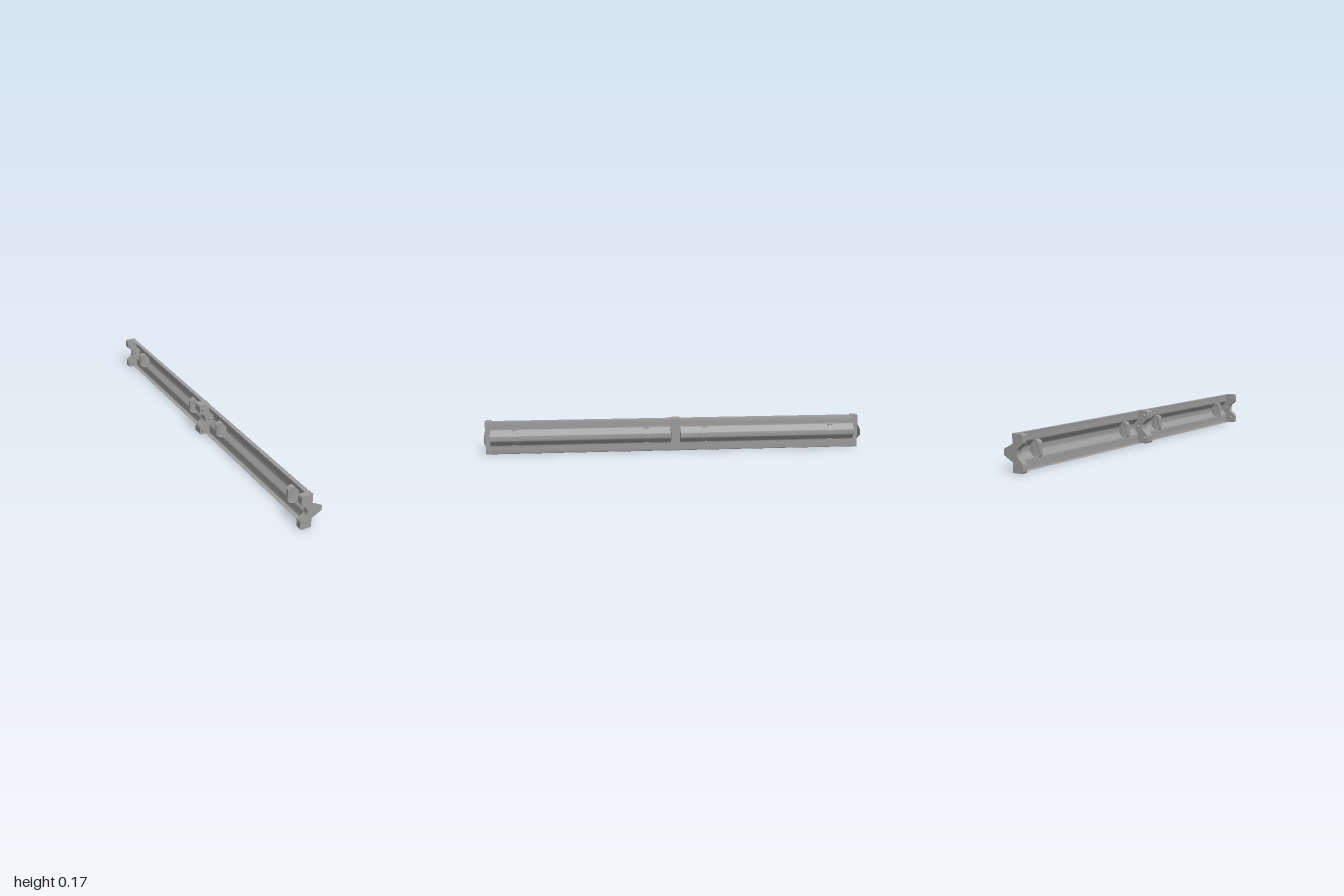
import * as THREE from 'three';

const MID = 0.0875; // mirror height of every profile
const grey = () => new THREE.MeshStandardMaterial({ color: 0x9c9c9c, side: THREE.DoubleSide });

// Mirrors a lower-half profile about the mid height
const mirrored = half => [...half, ...half.map(([x, y]) => [x, 2 * MID - y]).reverse()];
const outline = points => new THREE.Shape(points.map(([x, y]) => new THREE.Vector2(x, y)));

function part(name, geo) {
  const mesh = new THREE.Mesh(geo, grey());
  mesh.name = name;
  return mesh;
}

// Extrudes an outline along z, from z0 to z1
function slab(name, points, z0, z1) {
  const geo = new THREE.ExtrudeGeometry(outline(points), { depth: z1 - z0, bevelEnabled: false });
  return part(name, geo.translate(0, 0, z0));
}

// Flat thin plate facing along z
const plate = (name, points, z) => part(name, new THREE.ShapeGeometry(outline(points)).translate(0, 0, z));

// Thin bent sheet following a profile along z
function sheet(name, points, z0, z1) {
  const n = points.length;
  const geo = new THREE.PlaneGeometry(1, 1, n - 1, 1);
  const pos = geo.attributes.position;
  for (let i = 0; i < pos.count; i++) {
    const [x, y] = points[i % n];
    pos.setXYZ(i, x, y, i < n ? z0 : z1);
  }
  geo.computeVertexNormals();
  return part(name, geo);
}

// Holder body with a rounded notch in its -x side
const holderProfile = mirrored([
  [0.003, 0], [-0.046, 0], [-0.052, 0.003], [-0.055, 0.009], [-0.055, 0.035],
  [-0.053, 0.043], [-0.048, 0.05], [-0.04, 0.057], [-0.031, 0.064], [-0.025, 0.071],
  [-0.022, 0.079], [-0.0215, 0.085],
]);
// Tapered lobe on the +x side of each holder
const lobeProfile = mirrored([[0, 0.046], [0.01, 0.05], [0.0545, 0.074]]);
// Raised channel of the rail
const channelProfile = mirrored([
  [0.003, 0.03], [0.003, 0.042], [0.004, 0.046], [0.007, 0.051], [0.021, 0.067],
  [0.025, 0.072], [0.027, 0.078],
]);
// Lower turned-in lip of the rail
const lipProfile = [[0.003, 0.03], [0.003, 0.003], [0, 0], [-0.021, 0]];
// Clip running through the channel and hugging its outside
const clipProfile = mirrored([
  [-0.028, 0.058], [-0.012, 0.048], [0.003, 0.046], [0.01, 0.046], [0.01, 0.051],
  [0.024, 0.067], [0.029, 0.077],
]);

// Clip with its back edge narrowed
function clip(z) {
  const mesh = slab('clip', clipProfile, -0.015, 0.015);
  const pos = mesh.geometry.attributes.position;
  for (let i = 0; i < pos.count; i++) {
    if (pos.getX(i) < -0.02) pos.setZ(i, pos.getZ(i) * 0.4);
  }
  mesh.geometry.computeVertexNormals();
  mesh.position.z = z;
  return mesh;
}

// Three contact pins on one face of a holder
function pins(z, dir) {
  const group = new THREE.Group();
  group.name = 'contactPins';
  for (const [x, y] of [[-0.037, 0.027], [0, MID], [-0.037, 2 * MID - 0.027]]) {
    const pin = part('contactPin', new THREE.CylinderGeometry(0.009, 0.009, 0.016, 16));
    pin.rotation.x = Math.PI / 2;
    pin.position.set(x, y, z + dir * 0.007);
    group.add(pin);
  }
  return group;
}

// Holder body with thin lobes at the given depths
function holder(name, z0, z1, lobes) {
  const group = new THREE.Group();
  group.name = name;
  group.add(slab('holderBody', holderProfile, z0, z1));
  for (const z of lobes) group.add(plate('holderLobe', lobeProfile, z));
  return group;
}

export function createModel() {
  const model = new THREE.Group();
  model.name = 'twinRailFixture';

  // Full-length lips, lower and upper
  model.add(sheet('lowerLip', lipProfile, -1, 1));
  model.add(sheet('upperLip', lipProfile.map(([x, y]) => [x, 2 * MID - y]).reverse(), -1, 1));

  // Centre holder
  const centre = holder('centreHolder', -0.025, 0.025, [-0.025, 0.025]);
  centre.add(pins(0.025, 1), pins(-0.025, -1));
  model.add(centre);

  for (const s of [-1, 1]) {
    const span = (a, b) => (s > 0 ? [a, b] : [-b, -a]);

    // End holder
    const end = holder('endHolder', ...span(0.972, 1), [s]);
    end.add(pins(s * 0.972, -s));
    model.add(end);

    // Channel panel between the holders, closed at both ends
    model.add(sheet('channel', channelProfile, ...span(0.026, 0.974)));
    for (const z of [0.026, 0.974]) model.add(plate('channelEnd', channelProfile, s * z));

    // Clips near both ends of the panel
    for (const z of [0.155, 0.845]) model.add(clip(s * z));
  }
  return model;
}
